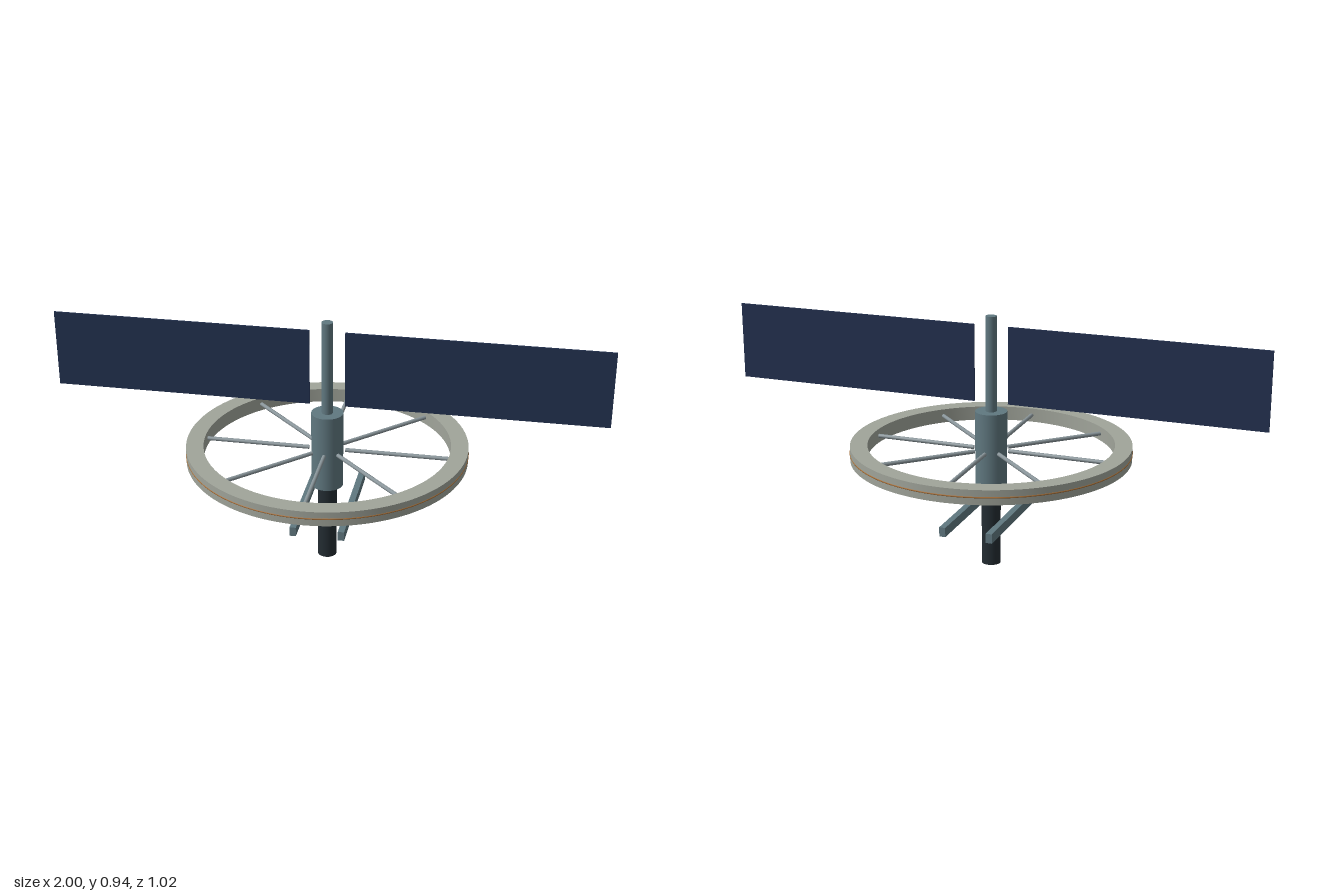
import * as THREE from 'three';
import { toCreasedNormals } from 'three/addons/utils/BufferGeometryUtils.js';

const paint = (color) => new THREE.MeshStandardMaterial({ color });

export function createModel() {
  const model = new THREE.Group();
  const steel = paint(0x607880);
  const dark = paint(0x232c32);
  const pale = paint(0xa0a49a);
  const strut = paint(0x89959a);
  const navy = paint(0x22304f);
  const orange = paint(0xa87038);

  const add = (name, geometry, material, x = 0, y = 0, z = 0, parent = model) => {
    const mesh = new THREE.Mesh(geometry, material);
    mesh.name = name;
    mesh.position.set(x, y, z);
    parent.add(mesh);
    return mesh;
  };

  // Upright column: a cylinder between two heights
  const column = (name, radius, y0, y1, material) =>
    add(name, new THREE.CylinderGeometry(radius, radius, y1 - y0, 32), material, 0, (y0 + y1) / 2, 0);

  column('engineSection', 0.035, 0, 0.295, dark);
  column('hub', 0.058, 0.295, 0.585, steel);
  column('mast', 0.02, 0.585, 0.935, steel);

  // Habitat ring: flat annulus extruded upwards
  const wheel = new THREE.Group();
  wheel.name = 'wheel';
  wheel.position.y = 0.44;
  model.add(wheel);

  const annulus = new THREE.Shape().absarc(0, 0, 0.51, 0, Math.PI * 2, false);
  annulus.holes.push(new THREE.Path().absarc(0, 0, 0.447, 0, Math.PI * 2, true));
  const ring = new THREE.ExtrudeGeometry(annulus, { depth: 0.053, bevelEnabled: false, curveSegments: 64 });
  ring.translate(0, 0, -0.0265).rotateX(-Math.PI / 2);
  add('ring', toCreasedNormals(ring, 0.6), pale, 0, 0, 0, wheel);

  // Thin stripe around the rim
  const stripe = new THREE.TorusGeometry(0.509, 0.003, 6, 64);
  add('rimStripe', stripe.rotateX(Math.PI / 2), orange, 0, 0, 0, wheel);

  // Eight spokes
  const spoke = new THREE.CylinderGeometry(0.0075, 0.0075, 0.38, 10);
  spoke.rotateZ(Math.PI / 2).translate(0.257, 0, 0);
  for (let i = 0; i < 8; i++) {
    add('spoke', spoke, strut, 0, 0, 0, wheel).rotation.y = (i * Math.PI) / 4;
  }

  // Mirrored solar panels and docking beams
  for (const [side, s] of [['left', 1], ['right', -1]]) {
    add(side + 'SolarPanel', new THREE.BoxGeometry(0.936, 0.284, 0.005), navy, s * 0.532, 0.758, 0);
    add(side + 'DockingBeam', new THREE.BoxGeometry(0.023, 0.035, 0.466), steel, s * 0.088, 0.2, -0.026);
  }

  return model;
}
